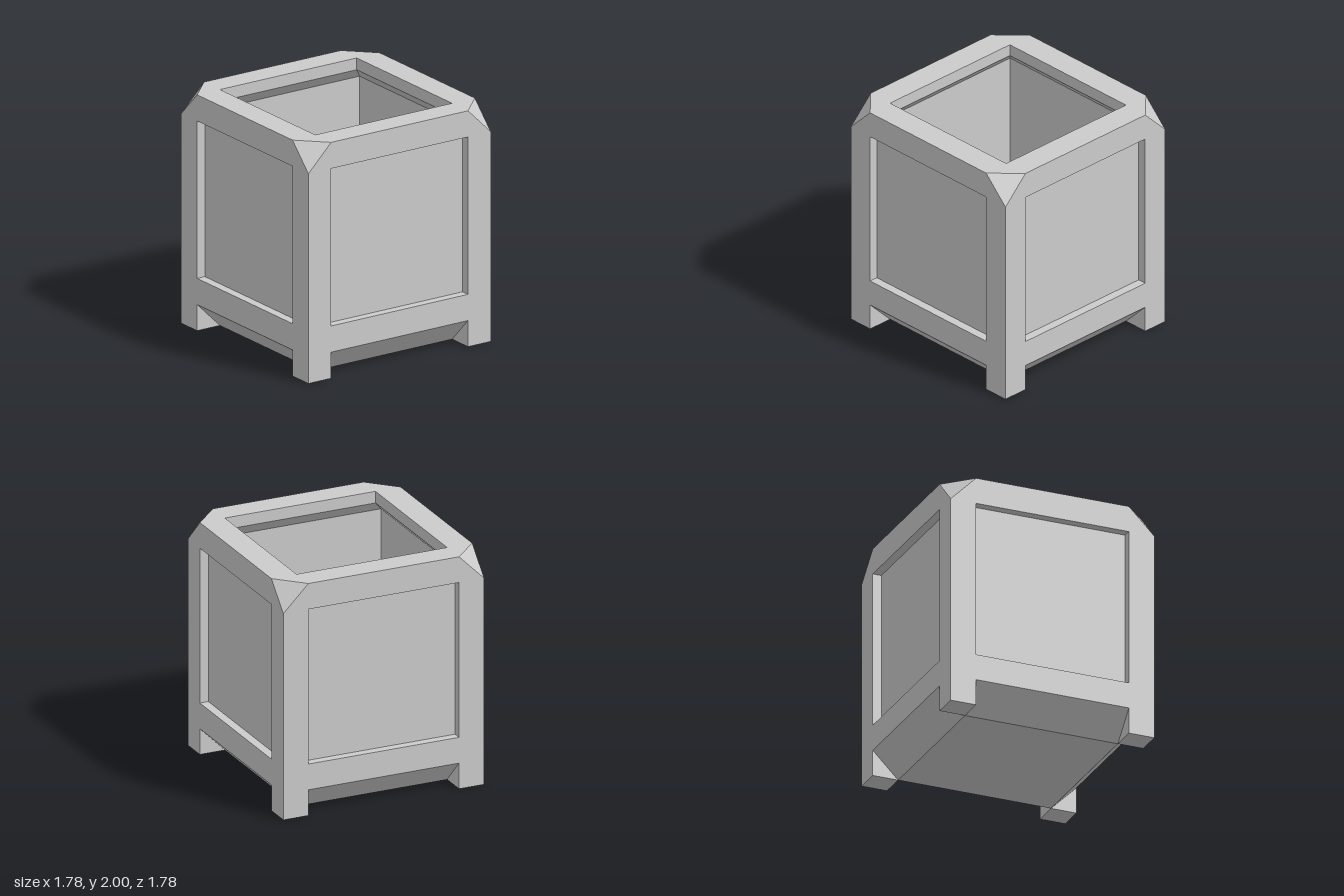
import * as THREE from 'three';

const OUT = 0.889;   // half width of the body
const IN = 0.667;    // half width of panels and top opening
const EDGE = OUT - IN;
const TOP = 2;
const PANEL_Y = 1.111;

const grey = new THREE.MeshStandardMaterial({ color: 0xcccccc, flatShading: true });

function part(name, geometry, parent) {
  const mesh = new THREE.Mesh(geometry, grey);
  mesh.name = name;
  parent.add(mesh);
  return mesh;
}

// Square-sectioned shell; profile points are [half width, height].
// A rising profile faces outward, a falling one faces inward.
function squareLathe(profile) {
  const points = profile.map(([w, y]) => new THREE.Vector2(w * Math.SQRT2, y));
  return new THREE.LatheGeometry(points, 4, Math.PI / 4);
}

// Flat plate with a square hole centred at height holeY.
function framePlate(outline, holeY) {
  const toPoints = list => list.map(([x, y]) => new THREE.Vector2(x, y));
  const shape = new THREE.Shape(toPoints(outline));
  shape.holes.push(new THREE.Path(toPoints([
    [-IN, holeY - IN], [-IN, holeY + IN], [IN, holeY + IN], [IN, holeY - IN],
  ])));
  return new THREE.ShapeGeometry(shape);
}

export function createModel() {
  const model = new THREE.Group();
  model.name = 'openBox';

  // Plates, sunken panels, cut corners and feet, once per side
  const sidePlate = framePlate([
    [-OUT, EDGE], [OUT, EDGE], [OUT, TOP - EDGE], [IN, TOP], [-IN, TOP], [-OUT, TOP - EDGE],
  ], PANEL_Y);
  const panel = squareLathe([[IN, OUT], [IN, OUT - 0.075], [0, OUT - 0.075]]);
  panel.rotateX(Math.PI / 2);
  const corner = new THREE.BufferGeometry().setFromPoints([
    new THREE.Vector3(IN, TOP, OUT),
    new THREE.Vector3(OUT, TOP - EDGE, OUT),
    new THREE.Vector3(OUT, TOP, IN),
  ]);
  corner.computeVertexNormals();
  const foot = new THREE.BoxGeometry(EDGE, EDGE, EDGE);

  for (let i = 0; i < 4; i++) {
    const side = new THREE.Group();
    side.name = ['frontSide', 'leftSide', 'backSide', 'rightSide'][i];
    side.rotation.y = i * Math.PI / 2;
    part('sideFrame', sidePlate, side).position.z = OUT;
    part('sunkenPanel', panel, side).position.y = PANEL_Y;
    part('cutCorner', corner, side);
    part('foot', foot, side).position.set(OUT - EDGE / 2, EDGE / 2, OUT - EDGE / 2);
    model.add(side);
  }

  // Top rim around the opening
  const rim = framePlate([
    [-IN, -OUT], [IN, -OUT], [OUT, -IN], [OUT, IN],
    [IN, OUT], [-IN, OUT], [-OUT, IN], [-OUT, -IN],
  ], 0);
  rim.rotateX(-Math.PI / 2);
  part('topRim', rim, model).position.y = TOP;

  // Hollow interior with bevels under the rim and above the floor
  part('interior', squareLathe([
    [IN, TOP], [IN, 1.9], [0.76, 1.8], [0.76, 0.2], [IN, 0.1], [0, 0.1],
  ]), model);

  // Bevelled underside between the feet
  part('underside', squareLathe([[0, 0], [IN, 0], [OUT, EDGE]]), model);

  // Ball lying on the floor inside
  part('ball', new THREE.SphereGeometry(0.333, 32, 16), model).position.y = 0.433;

  return model;
}
